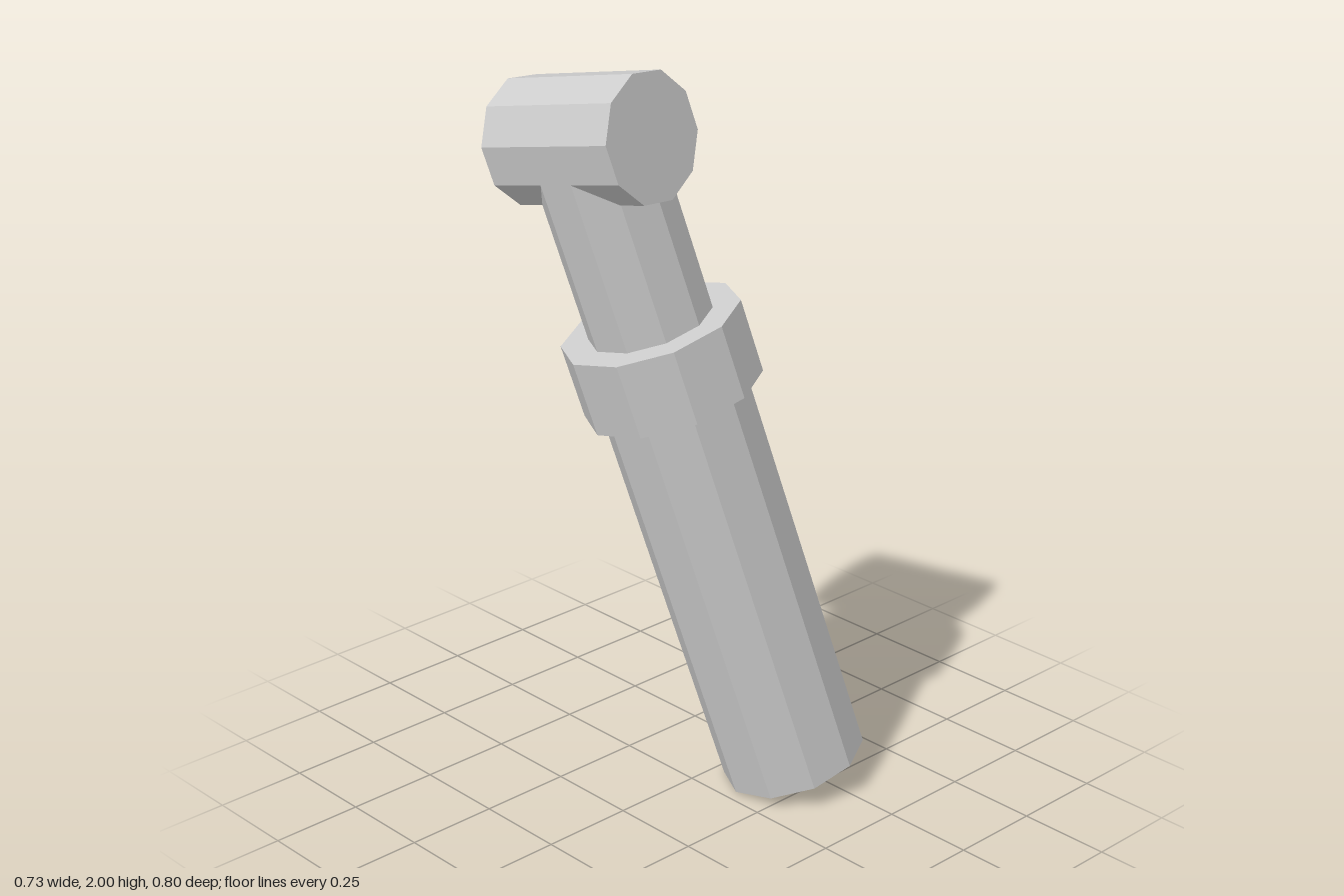
import * as THREE from 'three';

const SIDES = 10;
const material = new THREE.MeshStandardMaterial({
  color: 0xcccccc, flatShading: true, side: THREE.DoubleSide,
});

// Ten-sided cylinder running from y0 to y1 along the local axis
function addCylinder(group, name, radius, y0, y1, open = false) {
  const geometry = new THREE.CylinderGeometry(radius, radius, y1 - y0, SIDES, 1, open);
  geometry.translate(0, (y0 + y1) / 2, 0);
  const mesh = new THREE.Mesh(geometry, material);
  mesh.name = name;
  group.add(mesh);
  return mesh;
}

export function createModel() {
  const model = new THREE.Group();
  model.name = 'tiltedHandle';

  // Local frame: y along the shaft, z along the crossbar
  const handle = new THREE.Group();
  handle.name = 'handle';
  model.add(handle);

  addCylinder(handle, 'gripTube', 0.194, 0, 1.2, true); // open at the bottom
  addCylinder(handle, 'collar', 0.236, 1.117, 1.317);
  addCylinder(handle, 'rod', 0.163, 1.2, 1.823);

  // Crossbar lies across the top of the rod
  const bar = addCylinder(handle, 'crossbar', 0.164, -0.2075, 0.2075);
  bar.rotation.x = Math.PI / 2;
  bar.position.y = 1.823;

  // Lean the whole handle
  const up = new THREE.Vector3(-0.1646, 0.957, 0.2386).normalize();
  const across = new THREE.Vector3(0.976, 0.193, -0.108);
  const side = new THREE.Vector3().crossVectors(up, across).normalize();
  across.crossVectors(side, up);
  handle.quaternion.setFromRotationMatrix(new THREE.Matrix4().makeBasis(side, up, across));
  handle.position.set(0.17, 0.056, -0.215);

  return model;
}
